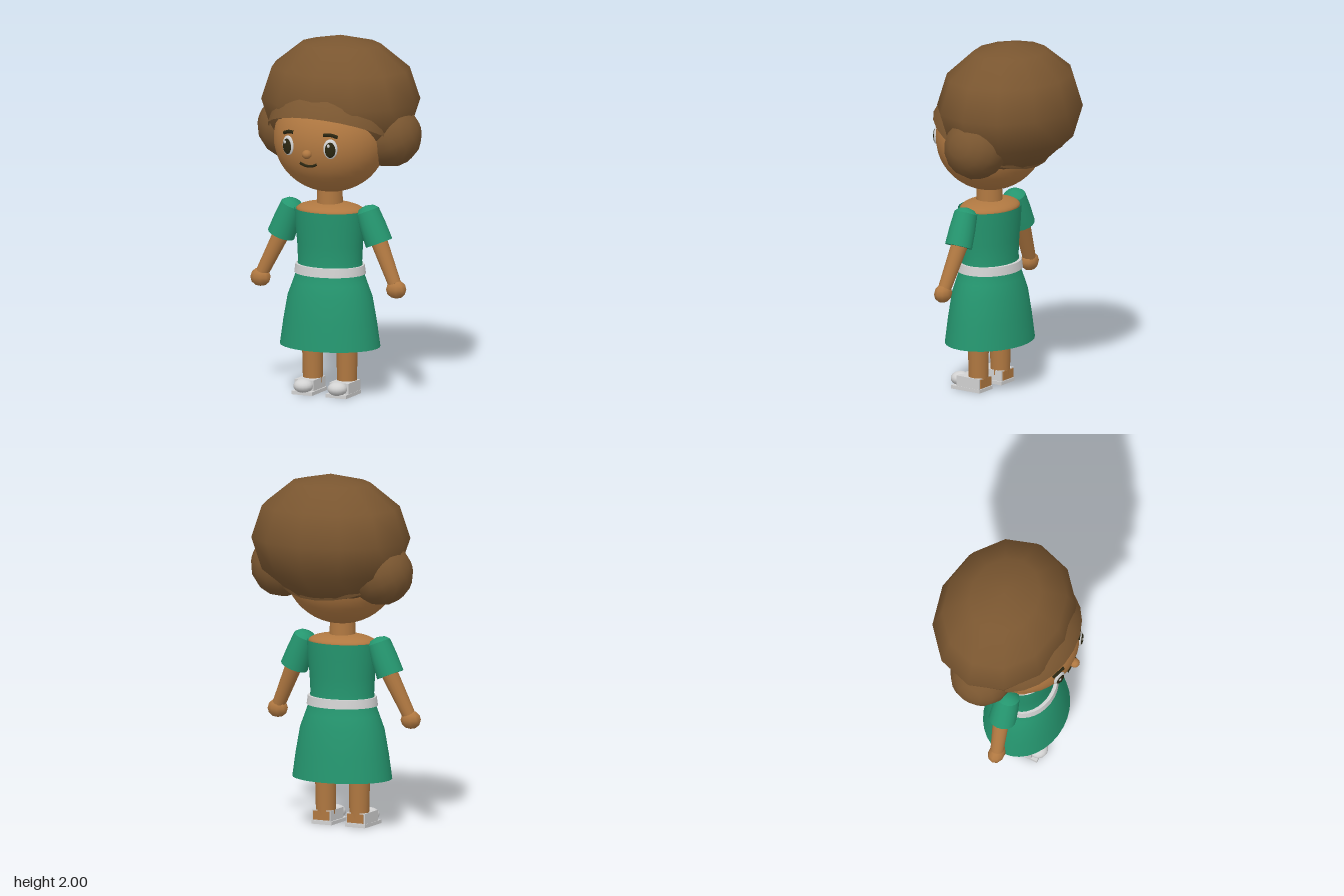
import * as THREE from 'three';
import { toCreasedNormals } from 'three/addons/utils/BufferGeometryUtils.js';

const material = (name, color, side = THREE.FrontSide) => {
  const m = new THREE.MeshStandardMaterial({ color, side });
  m.name = name;
  return m;
};

export function createModel() {
  const model = new THREE.Group();
  model.name = 'girl';
  const skin = material('skin', 0xb07841);
  const hair = material('hair brown', 0x7a5630, THREE.DoubleSide);
  const green = material('dress green', 0x25966f, THREE.DoubleSide);
  const white = material('white', 0xd2d2d2);
  const dark = material('dark brown', 0x2a2611);

  const add = (name, geometry, mat, x = 0, y = 0, z = 0, parent = model) => {
    const mesh = new THREE.Mesh(geometry, mat);
    mesh.name = name;
    mesh.position.set(x, y, z);
    parent.add(mesh);
    return mesh;
  };
  const ball = (name, mat, [x, y, z], [rx, ry, rz], w = 24, h = 16, parent = model) => {
    const mesh = add(name, new THREE.SphereGeometry(1, w, h), mat, x, y, z, parent);
    mesh.scale.set(rx, ry, rz);
    return mesh;
  };
  const lathe = (points, segments = 32) =>
    new THREE.LatheGeometry(points.map(([r, y]) => new THREE.Vector2(r, y)), segments);
  // tapered round limb between two points
  const limb = (name, mat, a, b, ra, rb, parent) => {
    const from = new THREE.Vector3(...a), to = new THREE.Vector3(...b);
    const dir = to.clone().sub(from);
    const mesh = add(name, new THREE.CylinderGeometry(rb, ra, dir.length(), 16), mat, 0, 0, 0, parent);
    mesh.position.copy(from).lerp(to, 0.5);
    mesh.quaternion.setFromUnitVectors(new THREE.Vector3(0, 1, 0), dir.normalize());
    return mesh;
  };

  // head
  const HEAD = [0, 1.44, 0.09], HEAD_R = [0.32, 0.3, 0.3];
  ball('head', skin, HEAD, HEAD_R, 32, 24);
  const faceZ = (x, y) => HEAD[2] + HEAD_R[2] *
    Math.sqrt(1 - (x / HEAD_R[0]) ** 2 - ((y - HEAD[1]) / HEAD_R[1]) ** 2);

  // hair: faceted crown and a tilted cap that makes the fringe
  ball('hairCrown', hair, [0, 1.64, -0.04], [0.46, 0.36, 0.385], 12, 6);
  const cap = add('hairFringe',
    new THREE.SphereGeometry(0.34, 24, 10, 0, Math.PI * 2, 0, 1.53), hair, 0, 1.445, 0.09);
  cap.scale.x = 1.07;
  cap.rotation.x = -0.44;

  // nose and mouth
  ball('nose', skin, [0, 1.4, 0.397], [0.028, 0.025, 0.027], 12, 8);
  const stroke = (name, pts, radius) => {
    const curve = new THREE.CatmullRomCurve3(
      pts.map(([x, y]) => new THREE.Vector3(x, y, faceZ(x, y) + 0.003)));
    add(name, new THREE.TubeGeometry(curve, 12, radius, 6), dark);
  };
  stroke('mouth', [[-0.052, 1.344], [-0.025, 1.332], [0, 1.329], [0.025, 1.332], [0.052, 1.344]], 0.008);

  // dress, belt, neck and shoulders share one centre line
  const dress = add('dress', lathe([[0.29, 0.27], [0.27, 0.41], [0.245, 0.55], [0.215, 0.63], [0.193, 0.69],
    [0.185, 0.75], [0.19, 0.85], [0.2, 0.95], [0.205, 1.04]]), green, 0, 0, 0.097);
  dress.scale.z = 0.79;
  const belt = add('belt', toCreasedNormals(new THREE.CylinderGeometry(0.198, 0.205, 0.05, 32), 0.7),
    white, 0, 0.705, 0.097);
  belt.scale.z = 0.845;
  ball('shoulders', skin, [0, 1.035, 0.097], [0.198, 0.048, 0.152]);
  add('neck', new THREE.CylinderGeometry(0.07, 0.075, 0.16, 20), skin, 0, 1.1, 0.1);

  for (const [side, s] of [['left', 1], ['right', -1]]) {
    const name = (part) => side + part;

    // bun, with its pole pointing out and slightly up
    const bun = ball(name('HairBun'), hair, [s * 0.31, 1.46, -0.025], [0.178, 0.178, 0.178], 16, 8);
    bun.rotation.z = -s * (Math.PI / 2 - 0.27);

    // eye
    const ex = s * 0.13, ez = faceZ(0.13, 1.44);
    const eye = new THREE.Group();
    eye.name = name('Eye');
    eye.position.set(ex, 1.435, ez);
    eye.rotation.y = s * 0.3;
    model.add(eye);
    ball('eyeWhite', white, [0, 0, 0], [0.04, 0.056, 0.014], 20, 12, eye);
    ball('pupil', dark, [0, -0.004, 0.008], [0.03, 0.044, 0.011], 20, 12, eye);
    ball('eyeGlint', white, [-0.009, 0.02, 0.017], [0.008, 0.01, 0.004], 10, 6, eye);
    stroke(name('Eyebrow'), [[s * 0.09, 1.512], [s * 0.13, 1.512], [s * 0.165, 1.5]], 0.01);

    // puffed sleeve
    const sleeve = add(name('Sleeve'), toCreasedNormals(lathe([[0.05, 0], [0.078, 0], [0.074, 0.1],
      [0.066, 0.19], [0.042, 0.213], [0, 0.222]], 16), 0.6), green, s * 0.302, 0.87, 0.097);
    sleeve.rotation.z = s * 0.385;

    // arm and hand
    limb(name('Arm'), skin, [s * 0.27, 0.94, 0.085], [s * 0.408, 0.65, 0.117], 0.05, 0.037);
    ball(name('Hand'), skin, [s * 0.418, 0.622, 0.12], [0.061, 0.052, 0.047], 10, 6);

    // leg and shoe
    limb(name('Leg'), skin, [s * 0.105, 0.05, 0.1], [s * 0.107, 0.5, 0.1], 0.055, 0.064);
    add(name('Shoe'), new THREE.BoxGeometry(0.115, 0.06, 0.155), white, s * 0.108, 0.05, 0.13);
    add(name('Sole'), new THREE.BoxGeometry(0.125, 0.02, 0.195), white, s * 0.105, 0.01, 0.146);
    ball(name('Toe'), white, [s * 0.105, 0.049, 0.222], [0.056, 0.039, 0.055], 16, 10);
    add(name('Heel'), new THREE.BoxGeometry(0.1, 0.05, 0.008), skin, s * 0.108, 0.05, 0.05);
  }
  return model;
}
